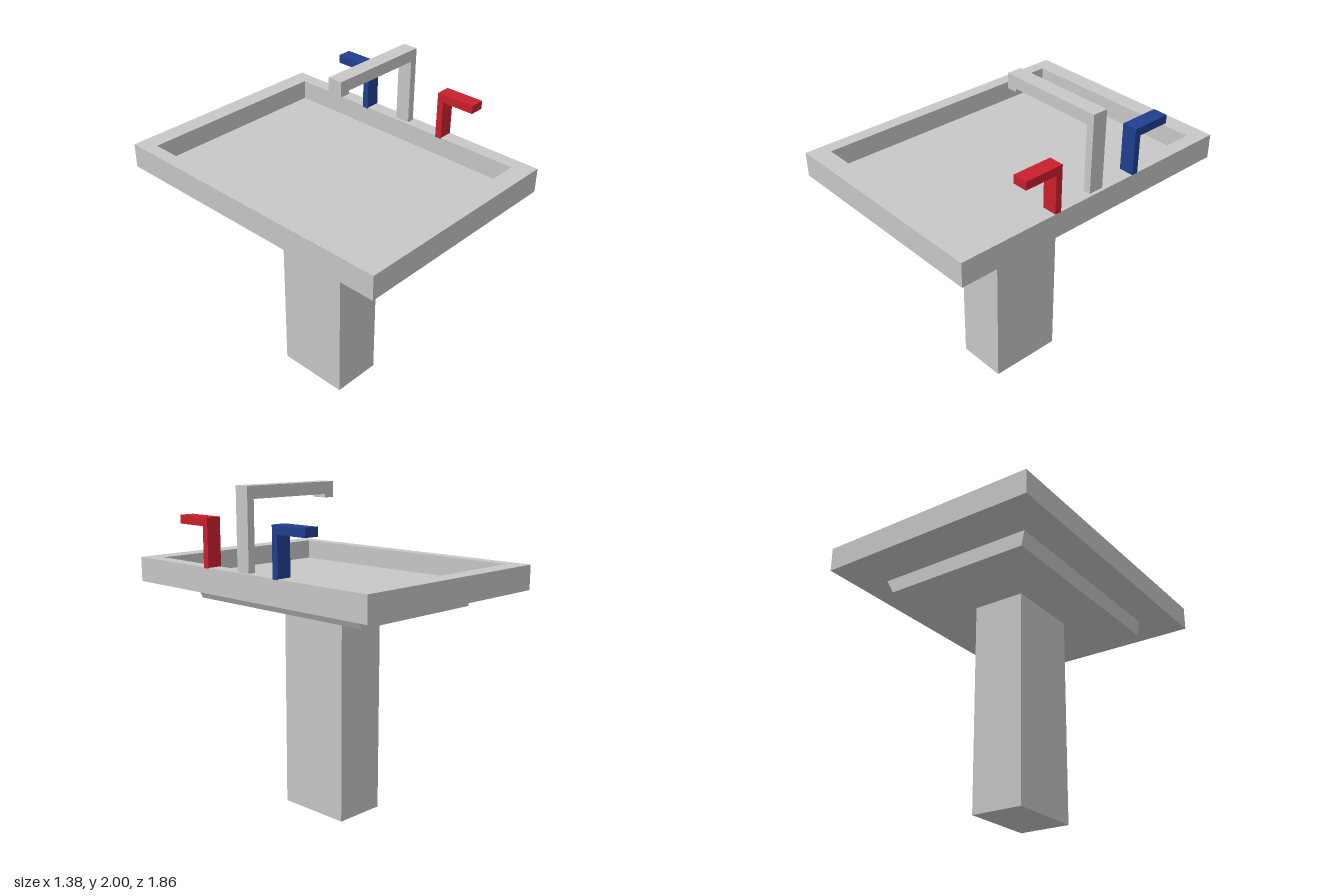
import * as THREE from 'three';

const porcelain = new THREE.MeshStandardMaterial({ color: 0xc8c8c8 });
porcelain.name = 'porcelainGrey';
const hotRed = new THREE.MeshStandardMaterial({ color: 0xcb202d });
hotRed.name = 'hotRed';
const coldBlue = new THREE.MeshStandardMaterial({ color: 0x213f91 });
coldBlue.name = 'coldBlue';

function part(name, geometry, material) {
  const mesh = new THREE.Mesh(geometry, material);
  mesh.name = name;
  return mesh;
}

// Solid through rectangular rings [x0, x1, z0, z1, y], listed from the bottom face to the top face
function rectLoft(rings) {
  const corners = rings.map(([x0, x1, z0, z1, y]) => [[x0, y, z1], [x1, y, z1], [x1, y, z0], [x0, y, z0]]);
  const positions = [];
  const quad = (a, b, c, d) => positions.push(...a, ...b, ...c, ...a, ...c, ...d);
  for (let i = 0; i < corners.length - 1; i++) {
    for (let k = 0; k < 4; k++) {
      const n = (k + 1) % 4;
      quad(corners[i][k], corners[i][n], corners[i + 1][n], corners[i + 1][k]);
    }
  }
  quad(...[...corners[0]].reverse());
  quad(...corners[corners.length - 1]);
  const geometry = new THREE.BufferGeometry();
  geometry.setAttribute('position', new THREE.Float32BufferAttribute(positions, 3));
  geometry.computeVertexNormals();
  return geometry;
}

function extrude(points, depth) {
  const shape = new THREE.Shape(points.map(([x, y]) => new THREE.Vector2(x, y)));
  return new THREE.ExtrudeGeometry(shape, { depth, bevelEnabled: false });
}

// L-shaped tap handle, its profile drawn in z and y; side is the direction its lever points
function tapHandle(name, material, inner, side) {
  const z = (d) => side * (inner + d);
  const profile = [[z(0), 1.53], [z(0.04), 1.53], [z(0.04), 1.765], [z(0.245), 1.765], [z(0.245), 1.815], [z(0), 1.815]];
  const geometry = extrude(profile, 0.09);
  geometry.rotateY(-Math.PI / 2);
  geometry.translate(0.69, 0, 0);
  return part(name, geometry, material);
}

export function createModel() {
  const sink = new THREE.Group();
  sink.name = 'pedestalSink';

  // Column
  sink.add(part('pedestal', rectLoft([
    [-0.18, 0.145, -0.235, 0.24, 0],
    [-0.18, 0.145, -0.235, 0.24, 1.285],
  ]), porcelain));

  // Tapered tray under the basin
  sink.add(part('lowerBowl', rectLoft([
    [-0.18, 0.145, -0.235, 0.24, 1.28],
    [-0.475, 0.44, -0.66, 0.66, 1.287],
    [-0.495, 0.49, -0.66, 0.66, 1.38],
  ]), porcelain));

  // Basin: slightly sloped underside, outer wall, flat rim, inner wall and floor
  sink.add(part('basin', rectLoft([
    [-0.495, 0.49, -0.66, 0.66, 1.378],
    [-0.69, 0.69, -0.93, 0.93, 1.387],
    [-0.69, 0.69, -0.93, 0.93, 1.535],
    [-0.61, 0.605, -0.82, 0.815, 1.535],
    [-0.61, 0.605, -0.82, 0.815, 1.415],
  ]), porcelain));

  // Spout: upright post, long arm and a short downturned tip
  const spout = part('spout', extrude([
    [0.67, 1.53], [0.67, 2], [0.025, 2], [0.025, 1.91],
    [0.09, 1.91], [0.09, 1.93], [0.625, 1.93], [0.625, 1.53],
  ], 0.093), porcelain);
  spout.position.z = -0.047;
  sink.add(spout);

  // Handles
  sink.add(tapHandle('hotHandle', hotRed, 0.275, 1));
  sink.add(tapHandle('coldHandle', coldBlue, 0.26, -1));

  return sink;
}
